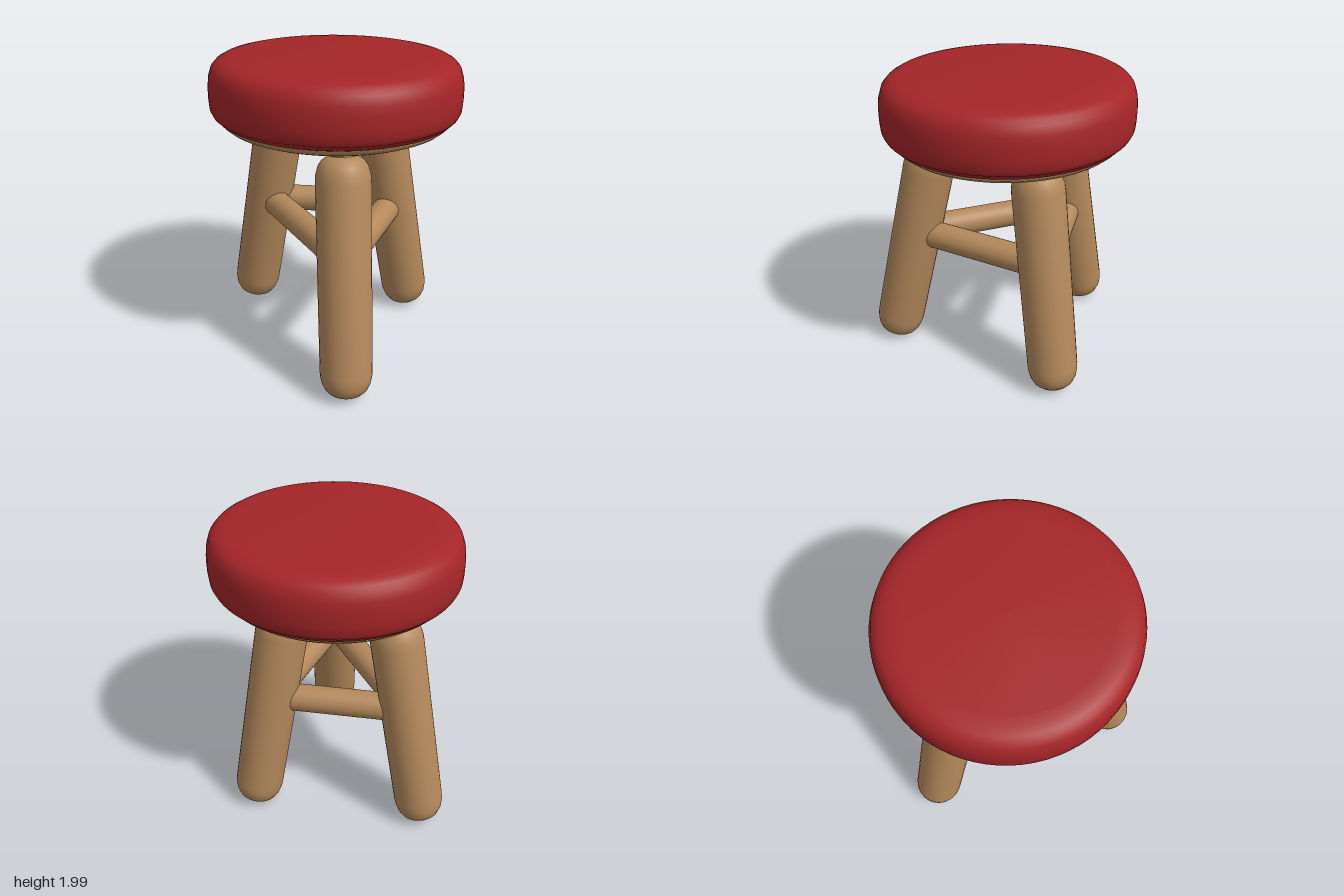
import * as THREE from 'three';
import { toCreasedNormals } from 'three/addons/utils/BufferGeometryUtils.js';

const UP = new THREE.Vector3(0, 1, 0);

function lathe(profile, segments, crease = 0.6) {
  const points = profile.map(([r, y]) => new THREE.Vector2(r, y));
  return toCreasedNormals(new THREE.LatheGeometry(points, segments), crease);
}

// Place a mesh whose axis is +y so that it starts at a and points to b
function aim(mesh, a, b) {
  mesh.position.copy(a);
  mesh.quaternion.setFromUnitVectors(UP, b.clone().sub(a).normalize());
  return mesh;
}

export function createModel() {
  const stool = new THREE.Group();
  stool.name = 'stool';

  const red = new THREE.MeshStandardMaterial({ color: 0xa52528 });
  red.name = 'red upholstery';
  const wood = new THREE.MeshStandardMaterial({ color: 0xb4895c });
  wood.name = 'wood';

  const add = (name, geometry, material) => {
    const mesh = new THREE.Mesh(geometry, material);
    mesh.name = name;
    stool.add(mesh);
    return mesh;
  };

  // Round padded seat and the stepped board beneath it
  const cushion = lathe([
    [0, 1.61], [0.74, 1.61], [0.765, 1.62], [0.775, 1.64], [0.795, 1.65], [0.81, 1.68],
    [0.815, 1.74], [0.815, 1.82], [0.808, 1.88], [0.79, 1.935], [0.765, 1.963],
    [0.73, 1.983], [0.68, 1.995], [0.62, 2.0], [0, 2.0],
  ], 72, 0.75);
  const board = lathe([
    [0, 1.515], [0.5, 1.515], [0.58, 1.525], [0.605, 1.54], [0.615, 1.555],
    [0.68, 1.56], [0.715, 1.575], [0.74, 1.595], [0.745, 1.615], [0, 1.615],
  ], 72, 0.75);
  for (const [name, geometry, material] of [['seatCushion', cushion, red], ['seatBoard', board, wood]]) {
    const mesh = add(name, geometry, material);
    mesh.position.x = 0.05;
    mesh.scale.z = 0.982;
  }

  // Three splayed legs: axis ends on the floor and under the seat
  const legs = [
    ['rightLeg', new THREE.Vector3(-0.748, 0.02, 0.018), new THREE.Vector3(-0.43, 1.5, 0.016)],
    ['frontLeg', new THREE.Vector3(0.637, 0.02, 0.587), new THREE.Vector3(0.4, 1.5, 0.35)],
    ['backLeg', new THREE.Vector3(0.232, 0.02, -0.645), new THREE.Vector3(0.148, 1.5, -0.362)],
  ];
  for (const [name, foot, top] of legs) {
    const h = foot.distanceTo(top);
    // Rounded foot, straight shaft, domed shoulder and a thin neck into the seat
    const profile = [
      [0, 0], [0.06, 0.004], [0.1, 0.02], [0.13, 0.045], [0.152, 0.085], [0.163, 0.13], [0.166, 0.17],
      [0.17, h - 0.16], [0.167, h - 0.11], [0.153, h - 0.06], [0.13, h - 0.025], [0.105, h - 0.008],
      [0.085, h], [0.085, h + 0.05], [0, h + 0.05],
    ];
    aim(add(name, lathe(profile, 32), wood), foot, top);
  }

  // Round rungs joining each pair of legs at one height
  const rungY = 0.87;
  const joints = legs.map(([, foot, top]) =>
    foot.clone().lerp(top, (rungY - foot.y) / (top.y - foot.y)));
  ['frontRung', 'leftRung', 'backRung'].forEach((name, i) => {
    const a = joints[i], b = joints[(i + 1) % 3];
    const rung = new THREE.CylinderGeometry(0.092, 0.092, a.distanceTo(b), 28);
    rung.translate(0, a.distanceTo(b) / 2, 0);
    aim(add(name, rung, wood), a, b);
  });

  return stool;
}
